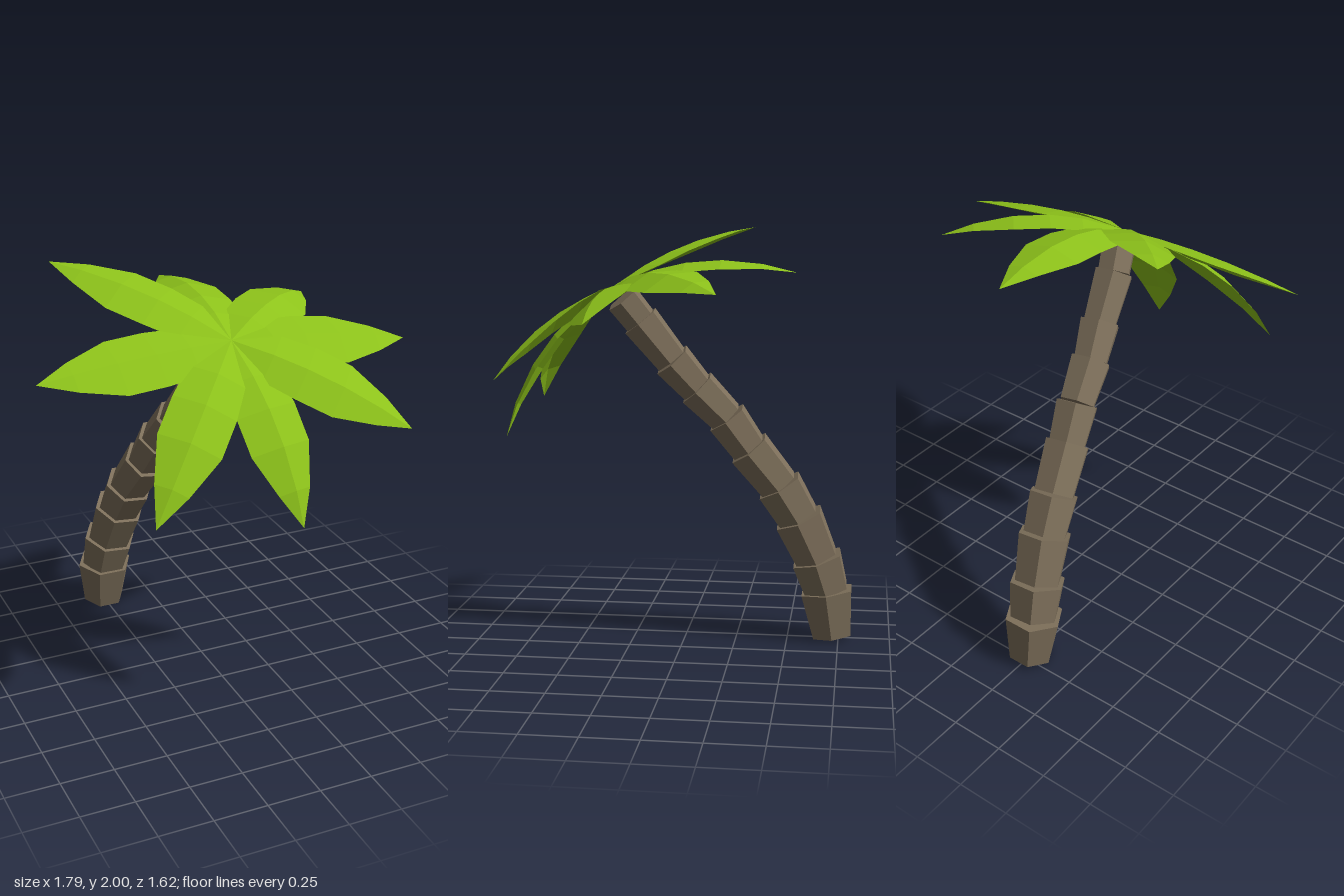
import * as THREE from 'three';

const V = (x, y, z) => new THREE.Vector3(x, y, z);
const bark = new THREE.MeshStandardMaterial({ color: 0x7d6f5a, flatShading: true });
const green = new THREE.MeshStandardMaterial({ color: 0x8dc21a, flatShading: true, side: THREE.DoubleSide });

// Joints of the curved trunk: x, y, z, radius of the flared rim
const joints = [
  [-0.25, 0.015, -0.72, 0.105], [-0.25, 0.24, -0.69, 0.14], [-0.235, 0.405, -0.64, 0.135],
  [-0.21, 0.61, -0.55, 0.13], [-0.19, 0.77, -0.455, 0.122], [-0.155, 0.955, -0.31, 0.112],
  [-0.13, 1.105, -0.205, 0.106], [-0.1, 1.25, -0.065, 0.102], [-0.065, 1.385, 0.05, 0.1],
  [-0.035, 1.57, 0.195, 0.097], [-0.005, 1.675, 0.275, 0.085],
];

// Six-sided trunk segment, wider at the top than at the foot
function trunkSegment(a, b, i) {
  const p = V(...a), q = V(...b), dir = q.clone().sub(p);
  const foot = i === 0 ? a[3] : a[3] * 0.84;
  const geo = new THREE.CylinderGeometry(b[3], foot, dir.length(), 6, 1, false, Math.PI / 2);
  const mesh = new THREE.Mesh(geo, bark);
  mesh.position.copy(p).add(q).multiplyScalar(0.5);
  mesh.quaternion.setFromUnitVectors(V(0, 1, 0), dir.normalize());
  mesh.name = 'trunkSegment' + (i + 1);
  return mesh;
}

// Leaves: tip x, y, z, arch height, forward tilt in degrees
const hub = V(0.005, 1.735, 0.31);
const leaves = [
  [0.02, 1.8, -0.54, 0.085, 25], [0.63, 1.73, -0.23, 0.08, 22],
  [0.89, 1.62, 0.29, 0.035, 29], [0.69, 1.36, 0.72, 0.06, 43],
  [0.12, 1.03, 0.81, 0.1, 40], [-0.55, 1.14, 0.78, 0.1, 36],
  [-0.9, 1.68, 0.36, 0.025, 35], [-0.61, 2.0, -0.3, 0.05, 25],
];
// Position along the leaf, half width
const outline = [[0, 0], [0.22, 0.13], [0.4, 0.146], [0.6, 0.145], [0.82, 0.078], [1, 0]];

// Arched leaf with a raised midrib and lowered edges
function leaf([x, y, z, arch, tilt], i) {
  const tip = V(x, y, z), a = THREE.MathUtils.degToRad(tilt);
  const chord = tip.clone().sub(hub);
  const side = chord.clone().cross(V(0, Math.cos(a), Math.sin(a))).normalize();
  const up = side.clone().cross(chord).normalize();
  const ctrl = hub.clone().add(tip).multiplyScalar(0.5).addScaledVector(up, arch * 2);
  const rib = new THREE.QuadraticBezierCurve3(hub, ctrl, tip);
  const pos = [], index = [];
  outline.forEach(([t, w], r) => {
    const c = rib.getPoint(t);
    for (const s of [-1, 0, 1]) {
      const p = c.clone().addScaledVector(side, s * w).addScaledVector(up, -Math.abs(s) * w * 0.25);
      pos.push(p.x, p.y, p.z);
    }
    if (r === 0) return;
    for (const k of [0, 1]) {
      const n = r * 3 + k, o = n - 3;
      if (r > 1) index.push(o, o + 1, n);
      if (r === 1) index.push(o, n + 1, n);
      else if (r < outline.length - 1) index.push(o + 1, n + 1, n);
    }
  });
  const geo = new THREE.BufferGeometry();
  geo.setAttribute('position', new THREE.Float32BufferAttribute(pos, 3));
  geo.setIndex(index);
  const flat = geo.toNonIndexed();
  flat.computeVertexNormals();
  const mesh = new THREE.Mesh(flat, green);
  mesh.name = 'leaf' + (i + 1);
  return mesh;
}

export function createModel() {
  const model = new THREE.Group();
  model.name = 'palmTree';
  const trunk = new THREE.Group();
  trunk.name = 'trunk';
  for (let i = 0; i < joints.length - 1; i++) trunk.add(trunkSegment(joints[i], joints[i + 1], i));
  const crown = new THREE.Group();
  crown.name = 'crown';
  leaves.forEach((l, i) => crown.add(leaf(l, i)));
  model.add(trunk, crown);
  return model;
}
